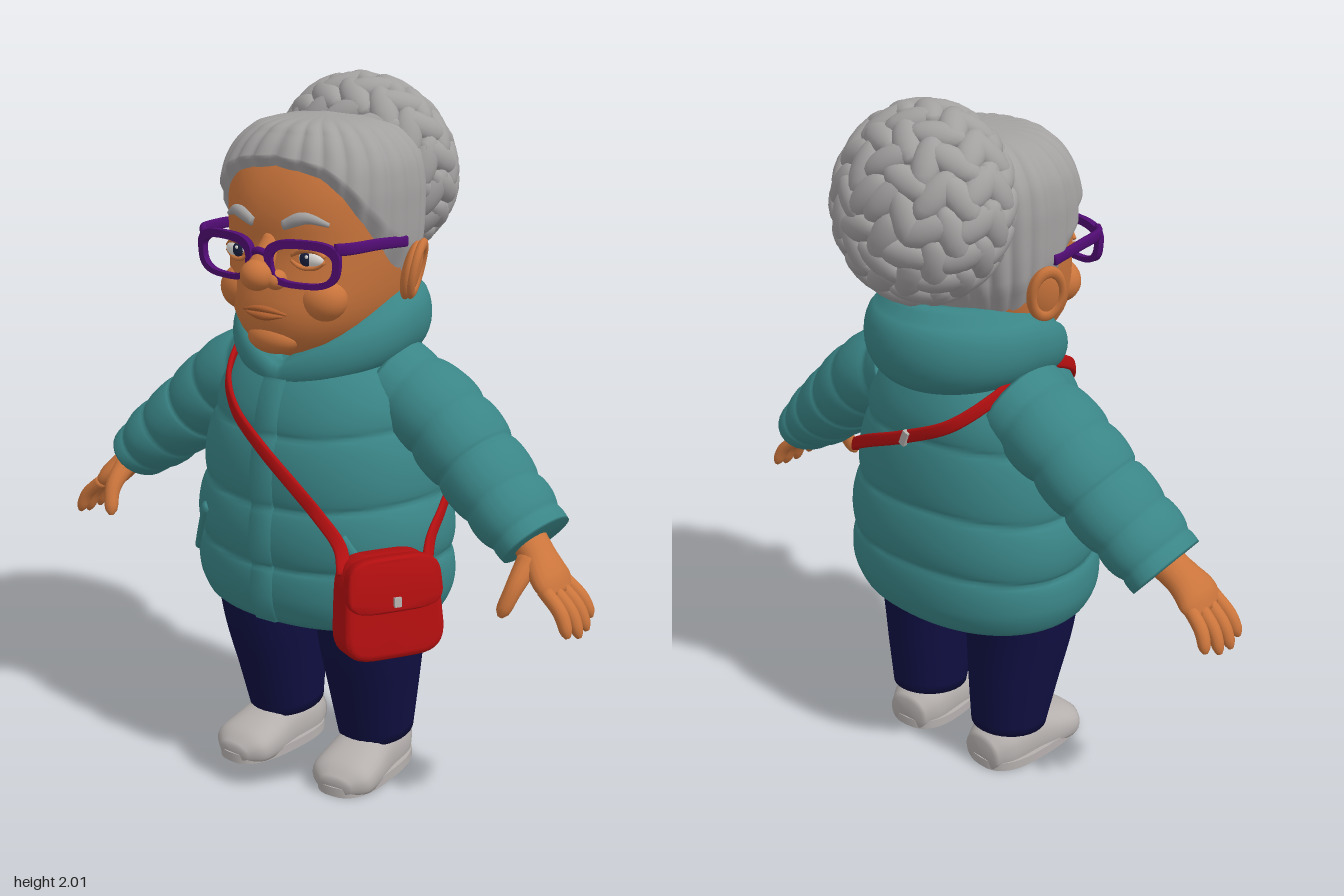
import * as THREE from 'three';
import { mergeGeometries, toCreasedNormals } from 'three/addons/utils/BufferGeometryUtils.js';

const V = (x, y, z) => new THREE.Vector3(x, y, z);
const mat = (name, color, side = THREE.FrontSide) => Object.assign(new THREE.MeshStandardMaterial({ color, side }), { name });
const spow = (c, p) => Math.sign(c) * Math.pow(Math.abs(c), p);

// Smooth lookup in rows of [key, a, b, ...]
function table(rows) {
  const slope = (k, c) => {
    const a = rows[Math.max(k - 1, 0)], b = rows[Math.min(k + 1, rows.length - 1)];
    return (b[c] - a[c]) / (b[0] - a[0]);
  };
  return (key) => {
    const k = Math.min(Math.max(key, rows[0][0]), rows[rows.length - 1][0]);
    let i = 0;
    while (i < rows.length - 2 && k > rows[i + 1][0]) i++;
    const a = rows[i], b = rows[i + 1], h = b[0] - a[0], u = (k - a[0]) / h, w = 1 - u;
    return a.slice(1).map((_, j) => {
      const c = j + 1;
      return a[c] * (1 + 2 * u) * w * w + b[c] * u * u * (3 - 2 * u) + h * u * w * (slope(i, c) * w - slope(i + 1, c) * u);
    });
  };
}

// Surface grid; each direction may close on itself
function grid(fn, nu, nv, cu = true, cv = false) {
  const U = cu ? nu : nu + 1, W = cv ? nv : nv + 1, pos = [], idx = [];
  for (let j = 0; j < W; j++) for (let i = 0; i < U; i++) pos.push(...fn(i / nu, j / nv, i, j).toArray());
  for (let j = 0; j < nv; j++) for (let i = 0; i < nu; i++) {
    const i2 = (i + 1) % U, j2 = (j + 1) % W;
    const a = j * U + i, b = j * U + i2, c = j2 * U + i2, d = j2 * U + i;
    idx.push(a, b, c, a, c, d);
  }
  const g = new THREE.BufferGeometry();
  g.setAttribute('position', new THREE.Float32BufferAttribute(pos, 3));
  g.setIndex(idx);
  g.computeVertexNormals();
  return g;
}

// Closed, tapered sweep along a curve; radii rows are [t, across, along ref]
function limb(points, radii, ref, m = 16, n = 16, shape = 1, puff = () => 1) {
  const curve = new THREE.CatmullRomCurve3(points), r = table(radii);
  return grid((u, v, i, j) => {
    const t = Math.min(Math.max((j - 1) / (m - 2), 0), 1), p = curve.getPoint(t), T = curve.getTangent(t);
    const N = (typeof ref === 'function' ? ref(p) : ref).clone().cross(T).normalize(), B = T.clone().cross(N);
    const k = j === 0 || j === m ? 0 : puff(t), [ra, rb] = r(t), a = u * 2 * Math.PI;
    return p.addScaledVector(N, k * ra * spow(Math.cos(a), shape)).addScaledVector(B, k * rb * spow(Math.sin(a), shape));
  }, n, m);
}

const X = V(1, 0, 0), Y = V(0, 1, 0), Z = V(0, 0, 1);
const radial = (p) => V(p.x, 0, p.z).normalize();
const oval = (a, b, n, taper = 0) => Array.from({ length: 40 }, (_, i) => {
  const t = (i / 40) * 2 * Math.PI, y = spow(Math.sin(t), 2 / n);
  return new THREE.Vector2(a * spow(Math.cos(t), 2 / n) * (1 - taper * y), b * y);
});
const ring = (th, y, rx, zf, zb, n) => {
  const c = spow(Math.cos(th), 2 / n);
  return V(rx * spow(Math.sin(th), 2 / n), y, c * (c > 0 ? zf : zb));
};

// Quilted coat surface: [y, half width, front, back]
const coatRows = table([[0.52, 0.37, 0.3, 0.28], [0.6, 0.388, 0.315, 0.297], [0.75, 0.388, 0.322, 0.297], [0.9, 0.366, 0.316, 0.282],
  [1.05, 0.336, 0.302, 0.267], [1.15, 0.305, 0.275, 0.255], [1.24, 0.25, 0.23, 0.225], [1.33, 0.17, 0.15, 0.18]]);
const seams = [0.52, 0.7, 0.875, 1.075, 1.28, 1.5];
function coat(th, y, off = 0) {
  const ys = y + (y > 0.6 ? 0.008 * Math.sin(3 * th + 1) : 0);
  let i = 0;
  while (i < 4 && ys > seams[i + 1]) i++;
  const f = Math.pow(Math.max(0, Math.sin(Math.PI * (ys - seams[i]) / (seams[i + 1] - seams[i]))), 0.42);
  const [rx, zf, zb] = coatRows(y).map((r) => r * (0.945 + 0.06 * f) + off);
  return ring(th, y, rx, zf, zb, 2.15);
}

// Head surface: [y, half width, front, back]
const headRows = table([[1.27, 0.07, 0.19, 0.0], [1.31, 0.15, 0.26, 0.06], [1.36, 0.195, 0.29, 0.1], [1.42, 0.222, 0.298, 0.14],
  [1.5, 0.24, 0.283, 0.17], [1.58, 0.25, 0.27, 0.19], [1.66, 0.252, 0.272, 0.2], [1.73, 0.25, 0.26, 0.2],
  [1.8, 0.232, 0.23, 0.19], [1.86, 0.18, 0.185, 0.15], [1.89, 0.11, 0.125, 0.1], [1.9, 0.002, 0.002, 0.002]]);
const head = (th, y, off = 0) => ring(th, y, ...headRows(y).map((r) => r + off), 2.3);
const onFace = (x, y, off) => {
  const [rx, zf] = headRows(y);
  return V(x, y, zf * Math.pow(1 - Math.pow(Math.abs(x) / rx, 2.3), 1 / 2.3) + off);
};

export function createModel() {
  const model = new THREE.Group();
  const skin = mat('skin', 0xcb753c), teal = mat('teal coat', 0x3a8587, THREE.DoubleSide), navy = mat('navy trousers', 0x0f0f42);
  const grey = mat('grey hair', 0xa3a0a0, THREE.DoubleSide), shoeGrey = mat('pale grey', 0xb5b0ae), red = mat('red leather', 0xb40f10);
  const purple = mat('purple frame', 0x500c72), white = mat('eye white', 0xe6e2de), dark = mat('dark iris', 0x1b2140), lipMat = mat('lip', 0xb0602f);
  const add = (name, geo, material, parent = model) => {
    const m = new THREE.Mesh(geo, material);
    m.name = name;
    parent.add(m);
    return m;
  };
  const ball = (name, material, p, s, parent) => {
    const m = add(name, new THREE.SphereGeometry(1, 24, 16), material, parent);
    m.position.copy(p);
    m.scale.set(...s);
    return m;
  };
  const both = (fn) => [-1, 1].forEach(fn);

  // Coat body, closed underneath
  add('coatBody', grid((u, v, i, j) => (j === 0 ? V(0, 0.535, 0) : coat(u * 2 * Math.PI, 0.52 + 0.81 * (j - 1) / 89)), 72, 90), teal);
  const px = [-0.038, -0.033, 0.033, 0.038], po = [-0.02, 0.01, 0.01, -0.02];
  add('frontPlacket', grid((u, v, i) => {
    const y = 0.525 + 0.695 * v;
    return coat(0, y, po[i]).setX(px[i]);
  }, 3, 70, false), teal);

  // Hood collar: a puffy ring, thin at the front V and full at the back
  add('hoodCollar', grid((u, v) => {
    const th = u * 2 * Math.PI, a = v * 2 * Math.PI, s = Math.abs(Math.sin(th / 2));
    const k = 1 - 0.1 * Math.exp(-Math.pow((a - 0.95) / 0.16, 2));
    const out = (0.045 + 0.05 * s) * Math.cos(a) * k, up = (0.048 + 0.077 * s) * Math.sin(a) * k;
    const z = Math.cos(th) * (Math.cos(th) > 0 ? 0.2 : 0.23);
    return V(Math.sin(th) * (0.195 + out), 1.215 + 0.135 * Math.min(1, 1.35 * s) + up, z + Math.cos(th) * out);
  }, 72, 32, true, true), teal);

  both((s) => {
    // Sleeve with quilted bands
    add('sleeve', limb([V(s * 0.2, 1.17, -0.03), V(s * 0.36, 1.1, -0.03), V(s * 0.48, 1, -0.02), V(s * 0.6, 0.9, 0), V(s * 0.69, 0.825, 0.01)],
      [[0, 0.14, 0.15], [0.4, 0.125, 0.148], [0.8, 0.108, 0.14], [1, 0.09, 0.132]], Z, 76, 28, 1,
      (t) => 0.9 + 0.1 * Math.pow(Math.abs(Math.sin(5.5 * Math.PI * t + 1.57 * (1 - t))), 0.45)), teal);
    // Slanted pocket welt
    add('pocketWelt', limb([coat(s * 0.62, 0.81, 0.002), coat(s * 0.76, 0.735, 0.002), coat(s * 0.9, 0.655, 0.002)],
      [[0, 0.016, 0.012], [1, 0.016, 0.012]], radial, 12, 12), teal);
    // Hand
    add('palm', limb([V(s * 0.65, 0.85, 0.02), V(s * 0.71, 0.8, 0.04), V(s * 0.755, 0.755, 0.055), V(s * 0.79, 0.71, 0.06)],
      [[0, 0.05, 0.06], [0.35, 0.042, 0.058], [0.75, 0.036, 0.078], [1, 0.022, 0.066]], Z, 18, 18), skin);
    [0.85, 1, 1.03, 0.92].forEach((len, i) => {
      const z = 0.006 + 0.036 * i, e = 1.35 * (z - 0.055) + 0.05;
      add('finger', limb([V(s * 0.772, 0.735, z), V(s * (0.772 + 0.06 * len), 0.735 - 0.055 * len, (z + e) / 2), V(s * (0.772 + 0.09 * len), 0.735 - 0.12 * len, e)],
        [[0, 0.02, 0.021], [0.85, 0.017, 0.018], [1, 0.007, 0.007]], Z, 14, 12), skin);
    });
    add('thumb', limb([V(s * 0.705, 0.79, 0.08), V(s * 0.7, 0.735, 0.145), V(s * 0.68, 0.66, 0.18)],
      [[0, 0.034, 0.032], [0.6, 0.023, 0.023], [0.9, 0.019, 0.019], [1, 0.007, 0.007]], X, 14, 12), skin);
    // Trouser leg
    add('trouserLeg', limb([V(s * 0.175, 0.62, 0.02), V(s * 0.172, 0.45, 0.018), V(s * 0.167, 0.28, -0.002), V(s * 0.163, 0.115, -0.02)],
      [[0, 0.158, 0.195], [0.25, 0.152, 0.186], [0.7, 0.126, 0.147], [1, 0.108, 0.12]], Z, 20, 32), navy);
    // Shoe, flattened on the ground
    const shoe = new THREE.Group();
    shoe.name = 'shoe';
    shoe.position.x = s * 0.165;
    shoe.rotation.y = s * 0.08;
    model.add(shoe);
    const upper = limb([V(0, 0.042, -0.138), V(0, 0.05, -0.06), V(0, 0.05, 0.02), V(0, 0.042, 0.1), V(0, 0.034, 0.18), V(0, 0.026, 0.235)],
      [[0, 0.06, 0.055], [0.15, 0.085, 0.085], [0.45, 0.09, 0.088], [0.65, 0.098, 0.07], [0.85, 0.092, 0.052], [1, 0.045, 0.026]], Y, 30, 28, 0.85);
    const p = upper.attributes.position;
    for (let i = 0; i < p.count; i++) p.setY(i, Math.max(p.getY(i), 0.004));
    upper.computeVertexNormals();
    add('shoeUpper', upper, shoeGrey, shoe);
    const sole = new THREE.ExtrudeGeometry(new THREE.Shape(oval(0.1, 0.19, 2.7, 0.07)), { depth: 0.028, bevelEnabled: false });
    sole.rotateX(Math.PI / 2).translate(0, 0.028, 0.05);
    add('sole', toCreasedNormals(sole, 0.7), shoeGrey, shoe);
    [0.055, 0.085, 0.115].forEach((z, i) => add('lace', limb([V(-0.045, 0.112 - 0.012 * i, z), V(0, 0.127 - 0.013 * i, z + 0.004), V(0.045, 0.112 - 0.012 * i, z)],
      [[0, 0.006, 0.008], [1, 0.006, 0.008]], Y, 8, 8), shoeGrey, shoe));
  });

  // Head and face
  add('neck', new THREE.CylinderGeometry(0.13, 0.15, 0.25, 28).translate(0, 1.26, 0.03), skin);
  add('head', grid((u, v, i, j) => (j === 0 ? V(0, 1.262, 0.09) : head(u * 2 * Math.PI, 1.27 + 0.63 * Math.sin((j - 1) / 39 * Math.PI / 2))), 64, 40), skin);
  ball('chin', skin, V(0, 1.335, 0.25), [0.08, 0.045, 0.05]);
  add('noseBridge', limb([V(0, 1.61, 0.255), V(0, 1.565, 0.285), V(0, 1.52, 0.32)], [[0, 0.022, 0.02], [1, 0.042, 0.035]], Z, 12, 16), skin);
  ball('noseTip', skin, V(0, 1.518, 0.322), [0.046, 0.042, 0.045]);
  const lip = (name, y, r, bend, w) => add(name, limb([-1, -0.5, 0, 0.5, 1].map((k) => onFace(k * w, y - bend * k * k, 0)),
    [[0, 0.003, 0.004], [0.5, r, 0.012], [1, 0.003, 0.004]], Z, 16, 12), lipMat);
  lip('upperLip', 1.422, 0.009, 0.01, 0.07);
  lip('lowerLip', 1.402, 0.011, -0.004, 0.058);
  both((s) => {
    ball('cheek', skin, V(s * 0.125, 1.45, 0.205), [0.075, 0.065, 0.065]);
    ball('nostril', skin, V(s * 0.04, 1.505, 0.292), [0.028, 0.027, 0.034]);
    // Ear with a raised rim
    const ear = new THREE.Group();
    ear.name = 'ear';
    ear.position.set(s * 0.268, 1.505, -0.015);
    ear.rotation.set(-0.15, s * 0.35, -s * 0.15);
    model.add(ear);
    ball('earLobe', skin, V(0, 0, 0), [0.024, 0.082, 0.054], ear);
    add('earRim', new THREE.TorusGeometry(0.045, 0.012, 10, 28).rotateY(Math.PI / 2).scale(1, 1.5, 1).translate(s * 0.014, 0.008, 0), skin, ear);
    // Eye, lids and brow
    const e = onFace(s * 0.115, 1.562, -0.006);
    ball('eyeWhite', white, e, [0.044, 0.025, 0.018]);
    ball('iris', dark, e.clone().add(V(-s * 0.004, 0, 0.012)), [0.019, 0.02, 0.009]);
    ball('glint', white, e.clone().add(V(0.004, 0.008, 0.02)), [0.005, 0.005, 0.003]);
    const lid = (name, dy, r) => add(name, limb([-1, -0.4, 0.4, 1].map((k) => e.clone().add(V(k * 0.046, dy * (1 - 0.75 * k * k), 0.007 - 0.012 * k * s))),
      [[0, 0.005, 0.006], [0.5, r, 0.013], [1, 0.005, 0.006]], Z, 14, 10), skin);
    lid('upperLid', 0.026, 0.011);
    lid('lowerLid', -0.025, 0.008);
    add('eyebrow', limb([onFace(s * 0.05, 1.648, 0.004), onFace(s * 0.11, 1.67, 0.006), onFace(s * 0.165, 1.652, 0.004)],
      [[0, 0.013, 0.01], [0.4, 0.017, 0.014], [1, 0.006, 0.006]], Z, 16, 12), grey);
    // Glasses: rim and temple
    const rim = new THREE.Shape(oval(0.107, 0.064, 3, -0.06));
    rim.holes.push(new THREE.Path(oval(0.087, 0.046, 2.8, -0.06).map((q) => q.setY(q.y - 0.004))));
    const frame = add('glassesRim', toCreasedNormals(new THREE.ExtrudeGeometry(rim, { depth: 0.018, bevelEnabled: false }), 0.6), purple);
    frame.position.set(s * 0.124, 1.555, 0.282);
    frame.rotation.y = s * 0.2;
    add('glassesTemple', limb([V(s * 0.215, 1.6, 0.272), V(s * 0.244, 1.602, 0.24), V(s * 0.262, 1.6, 0.14), V(s * 0.272, 1.59, 0.02)],
      [[0, 0.01, 0.017], [1, 0.008, 0.015]], Y, 18, 12, 0.7), purple);
  });
  add('glassesBridge', limb([V(-0.03, 1.57, 0.305), V(0, 1.582, 0.312), V(0.03, 1.57, 0.305)], [[0, 0.01, 0.01], [1, 0.01, 0.01]], Y, 10, 12), purple);

  // Swept-back hair with combed ridges above the hairline
  const hairline = table([[0, 1.79], [0.5, 1.765], [0.8, 1.71], [1.1, 1.62], [1.4, 1.53], [1.7, 1.47], [2.2, 1.44], [3.15, 1.42]]);
  add('sweptHair', grid((u, v) => {
    const th = (u * 2 - 1) * Math.PI, y0 = hairline(Math.abs(th))[0], y = y0 + (1.9 - y0) * Math.sin(v * Math.PI / 2);
    const edge = Math.min(1, v * 9), fade = Math.min(1, (1 - v) * 4);
    const q = head(th, y, edge * (0.014 + 0.011 * Math.abs(Math.sin(12 * th))) * fade - 0.004 * (1 - edge));
    return q.setY(q.y + 0.012 * edge);
  }, 192, 36), grey);

  // Braided bun: slanted strand lobes in alternating rows over a core
  const bun = new THREE.Group();
  bun.name = 'bun';
  bun.position.set(0, 1.742, -0.197);
  bun.rotation.x = 0.3;
  model.add(bun);
  const R = V(0.248, 0.243, 0.178), lobes = [];
  ball('bunCore', grey, V(0, 0, 0), R.toArray(), bun);
  for (let row = 0; row < 10; row++) {
    const phi = 0.13 + row * 0.29, count = Math.max(2, Math.round(Math.sin(phi) * 17)), slant = row % 2 ? 0.7 : -0.7;
    for (let i = 0; i < count; i++) {
      const a = ((i + 0.5 * (row % 2)) / count) * 2 * Math.PI + row * 0.3;
      const d = V(Math.sin(phi) * Math.cos(a), Math.sin(phi) * Math.sin(a), -Math.cos(phi));
      const n = d.clone().divide(R).normalize();
      const t = V(-Math.sin(a), Math.cos(a), 0).applyAxisAngle(n, slant);
      t.addScaledVector(n, -t.dot(n)).normalize();
      const M = new THREE.Matrix4().makeBasis(t, n.clone().cross(t), n).setPosition(d.multiply(R));
      lobes.push(new THREE.SphereGeometry(1, 14, 10).scale(0.078, 0.04, 0.03).applyMatrix4(M));
    }
  }
  add('bunBraids', mergeGeometries(lobes), grey, bun);

  // Shoulder bag
  const bag = new THREE.Group();
  bag.name = 'bag';
  bag.position.set(0.374, 0.65, 0.252);
  bag.rotation.set(-0.12, 0.985, 0, 'YXZ');
  model.add(bag);
  const slab = (name, a, b, n, taper, depth, bevel, y, z) => add(name, toCreasedNormals(new THREE.ExtrudeGeometry(new THREE.Shape(oval(a, b, n, taper)),
    { depth, bevelThickness: bevel, bevelSize: bevel, bevelSegments: 4 }), 0.7).translate(0, y, z - depth / 2), red, bag);
  slab('bagBody', 0.122, 0.123, 5, 0.08, 0.07, 0.02, 0, 0);
  slab('bagFlap', 0.128, 0.068, 4, 0.05, 0.03, 0.008, 0.068, 0.045);
  add('clasp', new THREE.BoxGeometry(0.02, 0.026, 0.012), shoeGrey, bag).position.set(0, 0.022, 0.072);

  // Strap around the torso, over the right shoulder
  const route = [[0.45, 0.87], [0.3, 0.94], [0, 1.04], [-0.3, 1.12], [-0.58, 1.19], [-1.1, 1.26], [-1.57, 1.285], [-2.2, 1.235], [-2.7, 1.16],
    [-3.15, 1.09], [-3.6, 1.02], [-4.19, 0.92], [-4.7, 0.85]].map(([th, y]) => coat(th, y, 0.016));
  add('strap', limb([V(0.295, 0.745, 0.345), V(0.255, 0.8, 0.305), ...route, V(0.415, 0.8, 0.1), V(0.435, 0.745, 0.15)],
    [[0, 0.019, 0.008], [1, 0.019, 0.008]], radial, 130, 12, 0.7), red);
  const buckle = add('strapBuckle', new THREE.BoxGeometry(0.02, 0.045, 0.014), shoeGrey);
  buckle.position.copy(coat(Math.PI, 1.09, 0.024));
  buckle.rotation.z = 0.4;
  return model;
}
